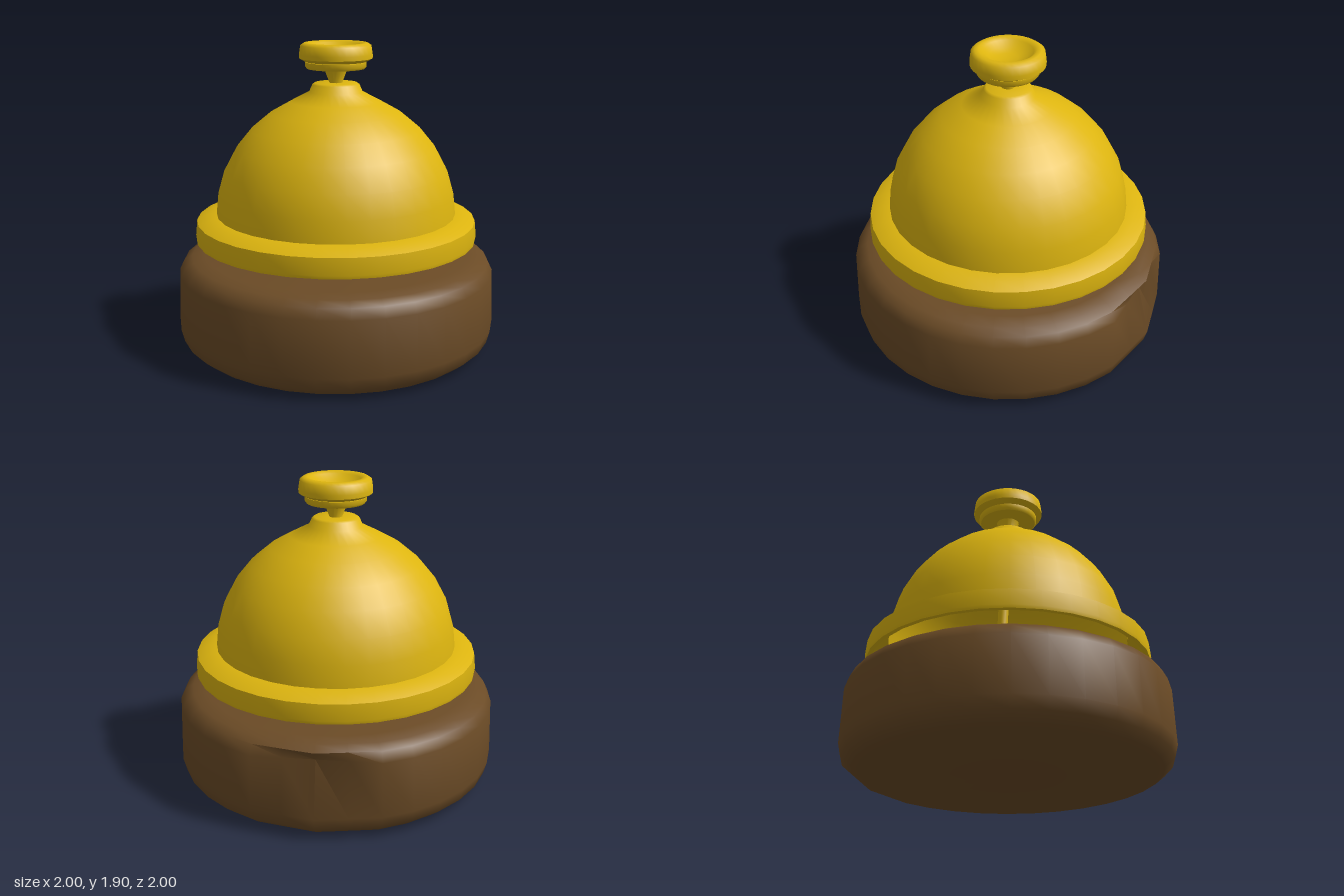
import * as THREE from 'three';
import { mergeVertices, toCreasedNormals } from 'three/addons/utils/BufferGeometryUtils.js';

const SEG = 32;

// Turned part from [radius, height] pairs, listed from bottom to top on the outside
function turned(name, profile, material, crease = 0.9, segments = SEG) {
  const lathe = new THREE.LatheGeometry(profile.map(([r, y]) => new THREE.Vector2(r, y)), segments);
  const mesh = new THREE.Mesh(toCreasedNormals(lathe, crease), material);
  mesh.name = name;
  return mesh;
}

// Rounded wooden base, with the worn back edge pulled in
function woodenBase(material) {
  const profile = [
    [0, 0.005], [0.84, 0.005], [0.92, 0.025], [0.98, 0.075], [1, 0.15],
    [0.99, 0.49], [0.96, 0.55], [0.91, 0.58], [0.83, 0.595], [0, 0.595],
  ];
  let geo = new THREE.LatheGeometry(profile.map(([r, y]) => new THREE.Vector2(r, y)), SEG);
  const pos = geo.attributes.position;
  const rows = profile.length, back = SEG / 2;
  for (let j = 2; j < rows - 2; j++) {
    const r = profile[j][0];
    const notch = j === 5;
    const chordZ = -r * Math.cos(Math.PI / 8);
    if (notch) pos.setZ(back * rows + j, chordZ);
    const zBack = pos.getZ(back * rows + j);
    // flatten the two neighbours of the back corner onto straight facets
    for (const side of [-1, 1]) {
      pos.setZ((back + side) * rows + j, (zBack + chordZ) / 2);
    }
  }
  geo.deleteAttribute('uv');
  geo.deleteAttribute('normal');
  geo = mergeVertices(geo, 1e-4);
  const mesh = new THREE.Mesh(toCreasedNormals(geo, 0.9), material);
  mesh.name = 'base';
  return mesh;
}

// Plunger stem that tapers and drifts to an off-centre tip
function plunger(material) {
  const geo = new THREE.CylinderGeometry(1, 1, 1, 16, 3, true);
  const rings = [ // height, radius, centre x, centre z
    [1.76, 0.078, 0, 0], [1.65, 0.036, 0, 0], [0.69, 0.03, -0.026, -0.043], [0.595, 0.003, -0.008, -0.066],
  ];
  const pos = geo.attributes.position;
  for (let i = 0; i < pos.count; i++) {
    const [y, r, cx, cz] = rings[Math.round((0.5 - pos.getY(i)) * 3)];
    pos.setXYZ(i, cx + pos.getX(i) * r, y, cz + pos.getZ(i) * r);
  }
  geo.computeVertexNormals();
  const mesh = new THREE.Mesh(geo, material);
  mesh.name = 'plunger';
  return mesh;
}

export function createModel() {
  const brass = new THREE.MeshStandardMaterial({ color: 0xdcb40f, side: THREE.DoubleSide });
  brass.name = 'brass yellow';
  const wood = new THREE.MeshStandardMaterial({ color: 0x6b4b26 });
  wood.name = 'brown wood';

  const group = new THREE.Group();
  group.name = 'deskBell';
  group.add(woodenBase(wood));

  // Hollow dome with a short neck
  group.add(turned('dome', [
    [0.75, 0.84], [0.735, 0.98], [0.695, 1.12], [0.62, 1.26], [0.525, 1.375],
    [0.405, 1.475], [0.28, 1.545], [0.165, 1.605], [0.145, 1.65], [0.13, 1.66], [0.035, 1.66],
  ], brass));

  // Flared rim, open underneath
  group.add(turned('rim', [
    [0.85, 0.69], [0.878, 0.69], [0.882, 0.71], [0.872, 0.81], [0.805, 0.842], [0.745, 0.85],
  ], brass));

  group.add(plunger(brass));

  // Collar under the button
  group.add(turned('collar', [
    [0, 1.747], [0.178, 1.747], [0.188, 1.76], [0.188, 1.787], [0.15, 1.795],
  ], brass));

  // Dished push button
  group.add(turned('button', [
    [0, 1.79], [0.19, 1.79], [0.225, 1.81], [0.225, 1.835], [0.217, 1.887], [0.195, 1.902],
    [0.17, 1.903], [0.15, 1.89], [0.115, 1.862], [0.06, 1.846], [0, 1.842],
  ], brass));

  return group;
}
